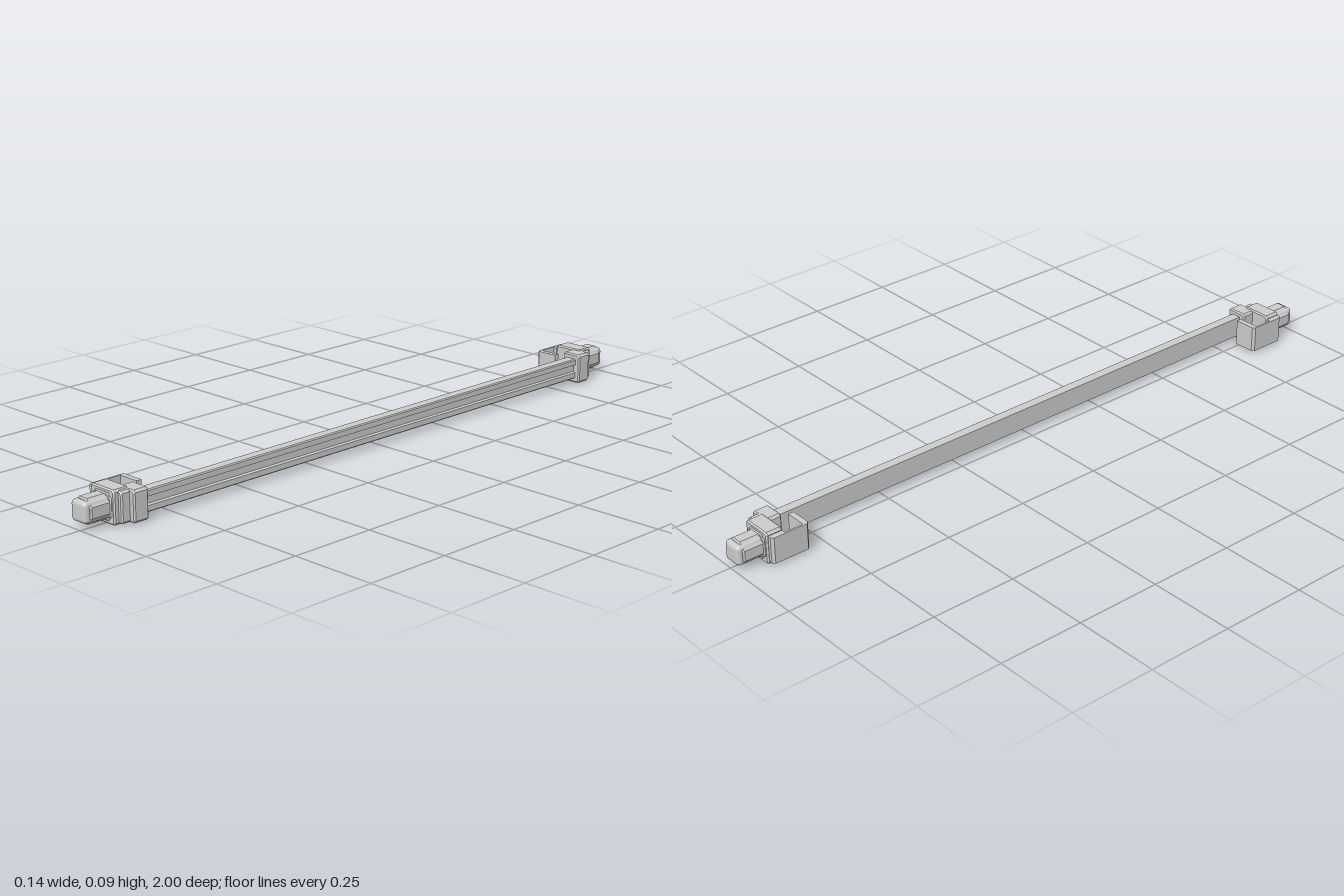
import * as THREE from 'three';
import { RoundedBoxGeometry } from 'three/addons/geometries/RoundedBoxGeometry.js';

const grey = new THREE.MeshStandardMaterial({ color: 0xcccccc });

function polygon(points) {
  return new THREE.Shape(points.map(([x, y]) => new THREE.Vector2(x, y)));
}

function addMesh(parent, name, geometry, x = 0, y = 0, z = 0) {
  const mesh = new THREE.Mesh(geometry, grey);
  mesh.name = name;
  mesh.position.set(x, y, z);
  parent.add(mesh);
  return mesh;
}

// Box with every edge chamfered, given by its x and z range and height
function addBlock(parent, name, x0, x1, height, z0, z1, c = 0.004) {
  const a = (x1 - x0) / 2 - c, b = height / 2 - c;
  const shape = polygon([
    [-a + c, -b], [a - c, -b], [a, -b + c], [a, b - c],
    [a - c, b], [-a + c, b], [-a, b - c], [-a, -b + c],
  ]);
  const geometry = new THREE.ExtrudeGeometry(shape, {
    depth: z1 - z0 - 2 * c, bevelThickness: c, bevelSize: c, bevelSegments: 1,
  });
  geometry.center();
  return addMesh(parent, name, geometry, (x0 + x1) / 2, 0, (z0 + z1) / 2);
}

// One end fitting, built around y = 0 and pointing along +z
function createFitting(name) {
  const fitting = new THREE.Group();
  fitting.name = name;
  const cx = -0.0075;

  addBlock(fitting, 'mainBlock', -0.053, 0.038, 0.093, 0.872, 0.922);
  addBlock(fitting, 'strapClamp', 0.004, 0.067, 0.087, 0.835, 0.882);
  addBlock(fitting, 'clampStep', 0.02, 0.05, 0.087, 0.87, 0.908);

  // Stepped collar, ribbed neck and rounded tip of the plug
  addBlock(fitting, 'collarWide', cx - 0.037, cx + 0.037, 0.056, 0.915, 0.926, 0.003);
  addBlock(fitting, 'collarTall', cx - 0.028, cx + 0.028, 0.074, 0.915, 0.926, 0.003);
  addBlock(fitting, 'neckRibWide', cx - 0.034, cx + 0.034, 0.042, 0.915, 0.985);
  addBlock(fitting, 'neckRibTall', cx - 0.021, cx + 0.021, 0.068, 0.915, 0.985);
  addMesh(fitting, 'plugTip', new RoundedBoxGeometry(0.058, 0.058, 0.09, 3, 0.012), cx, 0, 0.955);

  // Open hook, drawn from above as x and z
  const hook = polygon([
    [-0.053, 0.917], [-0.062, 0.917], [-0.069, 0.91], [-0.069, 0.809], [-0.062, 0.802],
    [0, 0.802], [0, 0.818], [-0.063, 0.818], [-0.063, 0.874], [-0.053, 0.874],
  ]);
  const depth = 0.076;
  const hookGeometry = new THREE.ExtrudeGeometry(hook, { depth, bevelEnabled: false });
  hookGeometry.translate(0, 0, -depth / 2);
  hookGeometry.rotateX(Math.PI / 2);
  addMesh(fitting, 'hook', hookGeometry);
  return fitting;
}

export function createModel() {
  const model = new THREE.Group();
  model.name = 'barWithEndFittings';
  const body = new THREE.Group();
  body.name = 'body';
  body.position.y = 0.0465;
  model.add(body);

  // Long bar with a shallow groove along its outer face
  const profile = polygon([
    [0.022, -0.03], [0.05, -0.03], [0.053, -0.027], [0.053, -0.012], [0.046, -0.009],
    [0.046, 0.009], [0.053, 0.012], [0.053, 0.027], [0.05, 0.03], [0.022, 0.03],
  ]);
  const length = 1.7;
  const bar = new THREE.ExtrudeGeometry(profile, { depth: length, bevelEnabled: false });
  bar.translate(0, 0, -length / 2);
  addMesh(body, 'bar', bar);

  // The back fitting is the front one turned half a turn about x
  body.add(createFitting('frontFitting'));
  const back = createFitting('backFitting');
  back.rotation.x = Math.PI;
  body.add(back);
  return model;
}
